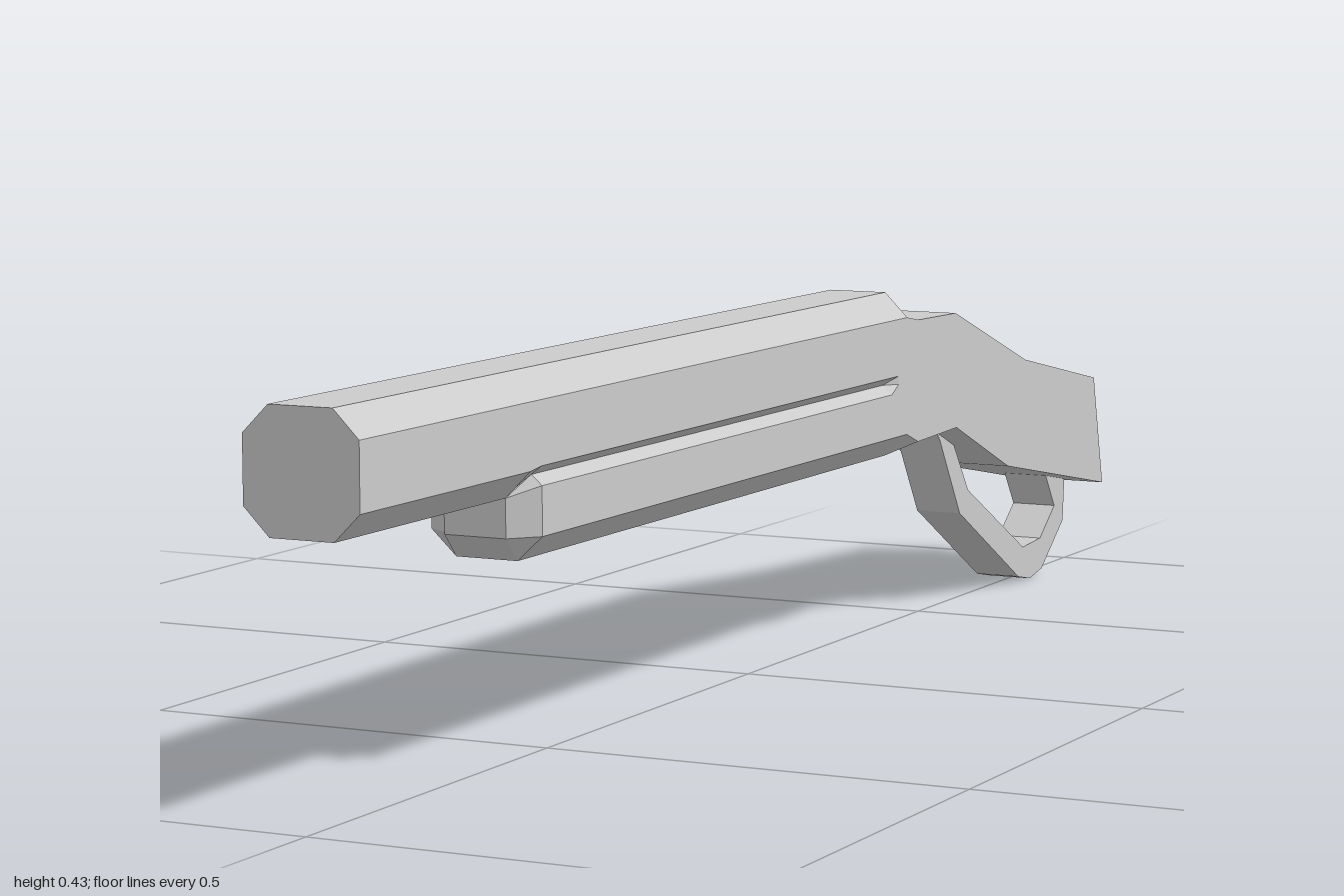
import * as THREE from 'three';

const material = new THREE.MeshStandardMaterial({ color: 0xcccccc, flatShading: true });

// Lofts mirrored half-sections, listed front to back; each point is [x, y, z], top to bottom.
function loft(sections, capFront, capBack) {
  const pos = [];
  const rings = sections.map(s => [...s, ...s.map(([x, y, z]) => [-x, y, z]).reverse()]);
  const n = rings[0].length;
  const tri = (a, b, c) => pos.push(...a, ...b, ...c);
  for (let i = 0; i < rings.length - 1; i++) {
    for (let j = 0; j < n; j++) {
      const k = (j + 1) % n, r = rings[i], q = rings[i + 1];
      tri(r[j], r[k], q[j]);
      tri(r[k], q[k], q[j]);
    }
  }
  const cap = (ring, front) => {
    const mid = [0, 1, 2].map(a => ring.reduce((sum, p) => sum + p[a], 0) / n);
    ring.forEach((p, j) => {
      const next = ring[(j + 1) % n];
      front ? tri(mid, next, p) : tri(mid, p, next);
    });
  };
  if (capFront) cap(rings[0], true);
  if (capBack) cap(rings[rings.length - 1], false);
  const geometry = new THREE.BufferGeometry();
  geometry.setAttribute('position', new THREE.Float32BufferAttribute(pos, 3));
  geometry.computeVertexNormals();
  return geometry;
}

const W = 0.067, N = 0.037; // half widths of the sides and of the flat top

// Flat section at one z
const at = (z, points) => points.map(([x, y]) => [x, y, z]);

// Rectangular section whose top and bottom edges may sit at different z
const slab = (topZ, topY, botZ, botY, w = W) =>
  [[N, 0], [w, 0], [w, 0.35], [w, 0.5], [w, 0.65], [w, 1], [N, 1]].map(([x, t]) =>
    [x, topY + (botY - topY) * t, topZ + (botZ - topZ) * t]);

export function createModel() {
  const group = new THREE.Group();
  const add = (name, geometry) => {
    const mesh = new THREE.Mesh(geometry, material);
    mesh.name = name;
    group.add(mesh);
  };

  // Octagonal barrel in front of the grip
  const octagon = [[N, 0.43], [W, 0.40], [W, 0.327], [N, 0.297]];
  add('barrel', loft([at(1, octagon), at(0.655, octagon)], true, false));

  // Barrel and grip share one body with a shallow groove along each side
  const body = groove => [
    [N, 0.43], [W, 0.40], [W, 0.33], [groove, 0.32], [W, 0.309], [W, 0.255], [N, 0.227],
  ];
  const nose = [[N, 0.43], [W, 0.40], [W, 0.327], [N, 0.3], [N, 0.297], [N, 0.257], [N, 0.254]];
  add('foreGrip', loft([
    at(0.655, nose),
    at(0.63, body(0.054)),
    at(-0.265, body(0.054)),
    at(-0.285, body(W)),
    at(-0.31, body(W)),
  ], true, false));

  // Receiver neck, bent stock and bevelled butt
  add('stock', loft([
    at(-0.31, body(W)),
    slab(-0.345, 0.394, -0.345, 0.242),
    slab(-0.46, 0.392, -0.465, 0.246),
    slab(-0.69, 0.31, -0.635, 0.176),
    slab(-0.935, 0.261, -0.97, 0.113),
    slab(-0.967, 0.235, -1, 0.136, 0.04),
  ], false, true));

  // Loop lever under the stock, drawn in (z, y)
  const outline = [
    [-0.48, 0.25], [-0.505, 0.222], [-0.57, 0.12], [-0.77, 0.008], [-0.81, 0], [-0.852, 0.008],
    [-0.926, 0.064], [-0.932, 0.14], [-0.85, 0.15], [-0.862, 0.135], [-0.895, 0.088],
    [-0.845, 0.05], [-0.785, 0.046], [-0.597, 0.147], [-0.545, 0.218], [-0.53, 0.24],
  ];
  const shape = new THREE.Shape(outline.map(([z, y]) => new THREE.Vector2(z, y)));
  const lever = new THREE.ExtrudeGeometry(shape, { depth: 0.06, bevelEnabled: false });
  lever.rotateY(-Math.PI / 2).translate(0.027, 0, 0);
  add('loopLever', lever);

  return group;
}
